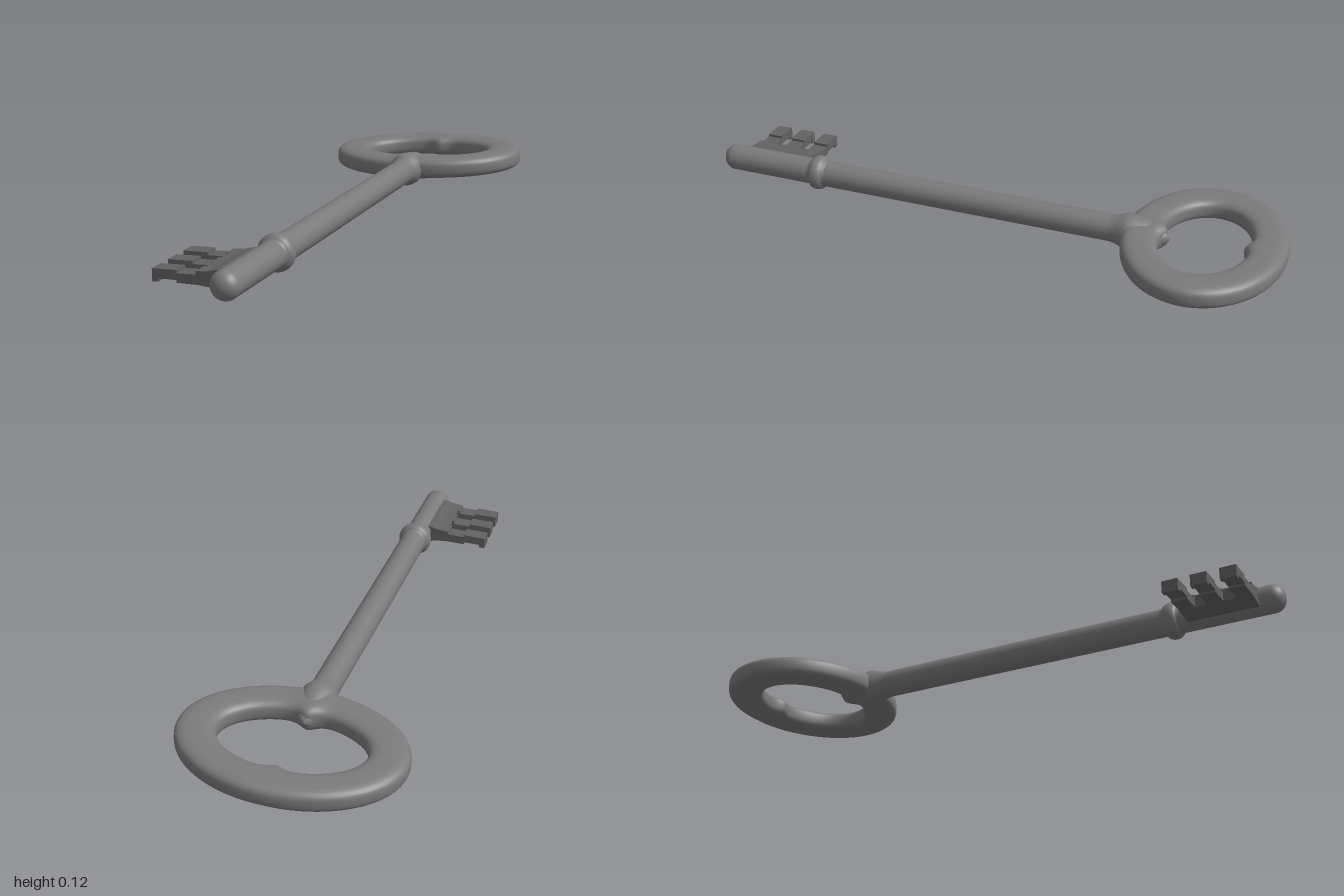
import * as THREE from 'three';

const steel = new THREE.MeshStandardMaterial({ color: 0x7a7a7a });
const darkSteel = new THREE.MeshStandardMaterial({ color: 0x626262 });
const AXIS_X = 0.004, AXIS_Y = 0.062;

function addMesh(parent, name, geometry, material = steel) {
  const mesh = new THREE.Mesh(geometry, material);
  mesh.name = name;
  parent.add(mesh);
  return mesh;
}

// Smooth round part on the shaft axis; profile pairs are [radius, z], rising in z
function turned(parent, name, profile) {
  const geometry = new THREE.LatheGeometry(profile.map(([r, z]) => new THREE.Vector2(r, z)), 40);
  geometry.rotateX(Math.PI / 2);
  geometry.translate(AXIS_X, AXIS_Y, 0);
  addMesh(parent, name, geometry);
}

// Oval ring with a squarish round section and a small cusp at each end of its hole
function bowGeometry() {
  const around = 128, sides = 32, positions = [], index = [];
  const soft = (v) => Math.sign(v) * Math.pow(Math.abs(v), 0.66);
  for (let i = 0; i < around; i++) {
    const a = (i / around) * Math.PI * 2, c = Math.cos(a), s = Math.sin(a);
    const cusp = Math.exp(-Math.pow(Math.abs(c / 0.14), 1.6)) * (s > 0 ? 0.028 : 0.022);
    const joint = s > 0 ? 0.008 * Math.exp(-Math.pow(c / 0.17, 2)) : 0;
    const innerX = 0.23 * c, innerZ = 0.148 * s - Math.sign(s) * cusp;
    const outerX = 0.357 * c, outerZ = 0.265 * s;
    for (let j = 0; j < sides; j++) {
      const b = (j / sides) * Math.PI * 2;
      const t = 0.5 + 0.5 * soft(Math.cos(b));
      positions.push(
        innerX + (outerX - innerX) * t,
        (0.0375 + joint) * soft(Math.sin(b)),
        innerZ + (outerZ - innerZ) * t
      );
      const i2 = (i + 1) % around, j2 = (j + 1) % sides;
      const p = i * sides + j, q = i * sides + j2, r = i2 * sides + j, u = i2 * sides + j2;
      index.push(p, q, r, q, u, r);
    }
  }
  const geometry = new THREE.BufferGeometry();
  geometry.setAttribute('position', new THREE.Float32BufferAttribute(positions, 3));
  geometry.setIndex(index);
  geometry.computeVertexNormals();
  return geometry;
}

// Slab with an x-y outline running from z0 to z1
function slab(outline, z0, z1) {
  const shape = new THREE.Shape(outline.map(([x, y]) => new THREE.Vector2(x, y)));
  const geometry = new THREE.ExtrudeGeometry(shape, { depth: z1 - z0, bevelEnabled: false });
  geometry.translate(0, 0, z0);
  return geometry;
}

export function createModel() {
  const key = new THREE.Group();
  key.name = 'key';

  // Bow, rolled slightly about the shaft
  const bow = addMesh(key, 'bow', bowGeometry());
  bow.position.set(0, 0.0625, -0.735);
  bow.rotation.z = 0.045;

  // Shaft with a rounded tip
  const shaft = [[0.045, -0.5], [0.045, 0.94]];
  for (let i = 0; i <= 10; i++) {
    const a = (i / 10) * Math.PI / 2;
    shaft.push([0.045 * Math.cos(a), 0.96 + 0.04 * Math.sin(a)]);
  }
  turned(key, 'shaft', shaft);

  // Swollen joint where the shaft runs through the bow
  turned(key, 'bowJoint', [
    [0, -0.622], [0.016, -0.615], [0.03, -0.598], [0.042, -0.572], [0.051, -0.54],
    [0.057, -0.51], [0.06, -0.487], [0.059, -0.472], [0.053, -0.457], [0.048, -0.442], [0.0445, -0.42],
  ]);

  // Bead collar ahead of the bit
  const bead = [[0.044, 0.595], [0.047, 0.608]];
  for (let i = 1; i < 10; i++) {
    const a = (i / 10 - 0.5) * Math.PI;
    bead.push([0.047 + 0.013 * Math.cos(a), 0.633 + 0.023 * Math.sin(a)]);
  }
  bead.push([0.047, 0.658], [0.044, 0.671]);
  turned(key, 'collar', bead);

  // Bit: flared web against the shaft, then three stepped teeth
  const bit = new THREE.Group();
  bit.name = 'bit';
  key.add(bit);
  const web = [
    [-0.1, 0.038], [-0.07, 0.036], [-0.045, 0.031], [-0.02, 0.03],
    [-0.02, 0.092], [-0.045, 0.089], [-0.07, 0.082], [-0.1, 0.079],
  ];
  addMesh(bit, 'web', slab(web, 0.69, 0.925), darkSteel);
  const tooth = [
    [-0.248, 0.031], [-0.228, 0.032], [-0.228, 0.042], [-0.17, 0.044], [-0.17, 0.036],
    [-0.1, 0.038], [-0.1, 0.079], [-0.108, 0.078], [-0.108, 0.068], [-0.168, 0.065],
    [-0.168, 0.074], [-0.248, 0.07],
  ];
  for (const z of [0.69, 0.781, 0.873]) {
    addMesh(bit, 'tooth', slab(tooth, z, z + 0.052), darkSteel);
  }
  return key;
}
